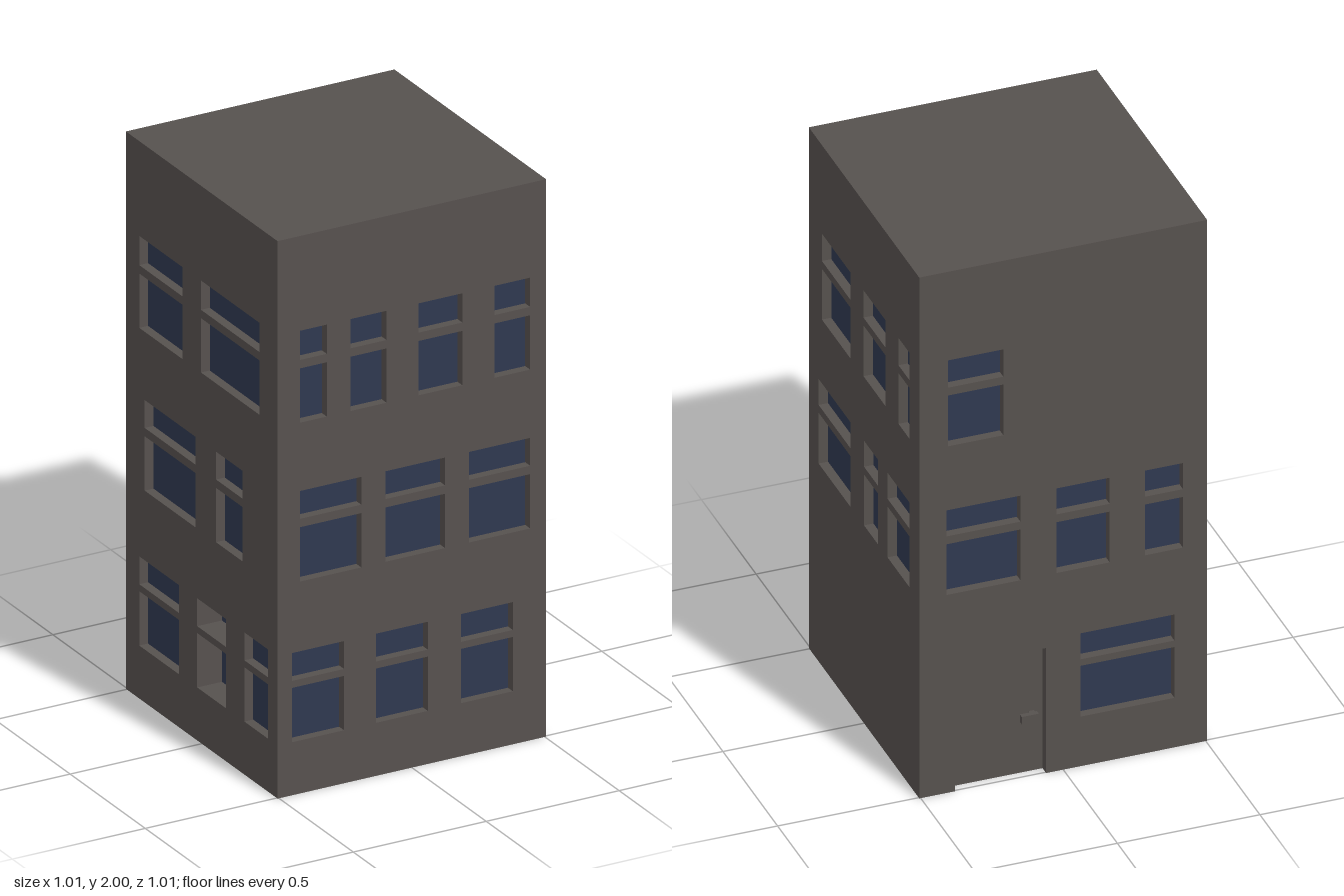
import * as THREE from 'three';

const HALF = 0.505, HEIGHT = 2, DEPTH = 0.033, PLATE = 0.008;

// Lower and upper pane heights for each storey
const STOREYS = [
  [[0.19, 0.385], [0.41, 0.51]],
  [[0.76, 0.955], [0.985, 1.085]],
  [[1.33, 1.525], [1.555, 1.66]],
];

// Window spans per storey, measured left to right as seen from outside
const FACADES = [
  { name: 'front', turn: 0, width: 2 * HALF, rows: [
    [[-0.45, -0.255], [-0.135, 0.06], [0.185, 0.38]],
    [[-0.42, -0.19], [-0.1, 0.125], [0.215, 0.445]],
    [[-0.42, -0.32], [-0.23, -0.095], [0.025, 0.19], [0.31, 0.445]]] },
  { name: 'positiveX', turn: Math.PI / 2, width: 2 * (HALF - DEPTH), rows: [
    [],
    [[-0.415, -0.125], [0, 0.13], [0.215, 0.415]],
    [[-0.385, -0.125], [-0.005, 0.195], [0.315, 0.415]]] },
  { name: 'back', turn: Math.PI, width: 2 * HALF, door: [-0.38, -0.06, 0.48], rows: [
    [[0.06, 0.39]],
    [[-0.41, -0.15], [-0.023, 0.163], [0.287, 0.42]],
    [[-0.405, -0.21]]] },
  { name: 'negativeX', turn: -Math.PI / 2, width: 2 * (HALF - DEPTH), rows: [
    [[-0.416, -0.15], [-0.03, 0.16, 0.06], [0.284, 0.44]],
    [[-0.38, -0.04], [0.095, 0.27]],
    [[-0.416, -0.127], [-0.005, 0.384]]] },
];

function outline(points, Type = THREE.Shape) {
  return new Type(points.map(([x, y]) => new THREE.Vector2(x, y)));
}

function rect(x0, x1, y0, y1, Type) {
  return outline([[x0, y0], [x1, y0], [x1, y1], [x0, y1]], Type);
}

export function createModel() {
  const model = new THREE.Group();
  model.name = 'building';
  const wall = new THREE.MeshStandardMaterial({ color: 0x56514e });
  wall.name = 'grey brown wall';
  const glass = new THREE.MeshStandardMaterial({ color: 0x2f3850 });
  glass.name = 'dark blue glass';

  const add = (parent, name, geometry, material) => {
    const mesh = new THREE.Mesh(geometry, material);
    mesh.name = name;
    parent.add(mesh);
    return mesh;
  };
  // Box given by its extents
  const block = (parent, name, x0, x1, y0, y1, z0, z1, material) => {
    const mesh = add(parent, name, new THREE.BoxGeometry(x1 - x0, y1 - y0, z1 - z0), material);
    mesh.position.set((x0 + x1) / 2, (y0 + y1) / 2, (z0 + z1) / 2);
    return mesh;
  };
  const extrude = (parent, name, shape, depth, z) => {
    const geometry = new THREE.ExtrudeGeometry(shape, { depth, bevelEnabled: false });
    add(parent, name, geometry, wall).position.z = z;
  };

  const inner = HALF - DEPTH;
  for (const { name, turn, width, rows, door } of FACADES) {
    const facade = new THREE.Group();
    facade.name = name + 'Facade';
    facade.rotation.y = turn;
    model.add(facade);

    // Wall slab, notched at the ground for the doorway
    const w = width / 2;
    const points = [[-w, 0]];
    if (door) points.push([door[0], 0], [door[0], door[2]], [door[1], door[2]], [door[1], 0]);
    points.push([w, 0], [w, HEIGHT], [-w, HEIGHT]);
    const slab = outline(points);

    // Panes set behind the openings; a third number marks a deeper reveal
    rows.forEach((spans, storey) => {
      for (const [x0, x1, extra = 0] of spans) {
        for (const [y0, y1] of STOREYS[storey]) {
          slab.holes.push(rect(x0, x1, y0, y1, THREE.Path));
          const z = inner - extra, m = 0.004;
          block(facade, 'windowPane', x0 - m, x1 + m, y0 - m, y1 + m, z - PLATE, z, glass);
          if (extra) {
            const reveal = rect(x0 - 0.01, x1 + 0.01, y0 - 0.01, y1 + 0.01);
            reveal.holes.push(rect(x0, x1, y0, y1, THREE.Path));
            extrude(facade, 'windowReveal', reveal, extra, z);
          }
        }
      }
    });
    extrude(facade, 'wall', slab, DEPTH, inner);

    // Door leaf and lever handle inside the doorway
    if (door) {
      block(facade, 'door', door[0], door[1], 0, door[2], inner - 0.02, inner, wall);
      block(facade, 'handleStem', -0.11, -0.09, 0.208, 0.23, inner, inner + 0.02, wall);
      block(facade, 'handleLever', -0.145, -0.085, 0.205, 0.233, inner + 0.014, inner + 0.032, wall);
    }
  }

  // Roof and floor between the walls
  block(model, 'roof', -inner, inner, HEIGHT - 0.03, HEIGHT, -inner, inner, wall);
  block(model, 'floor', -inner, inner, 0, 0.03, -inner, inner, wall);
  return model;
}
